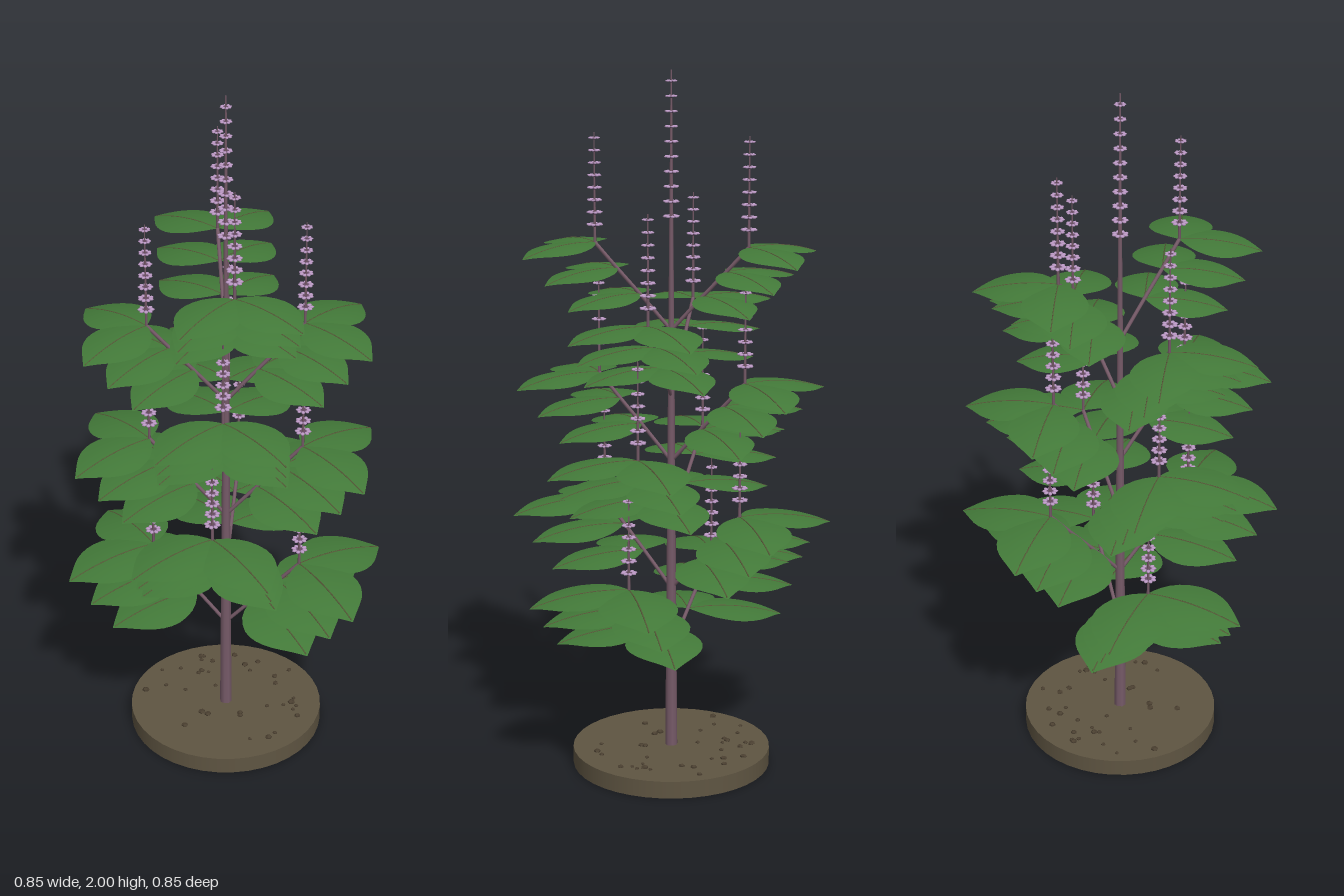
import * as THREE from 'three';
import { mergeGeometries } from 'three/addons/utils/BufferGeometryUtils.js';

const mat = (name, color, side = THREE.FrontSide) => {
  const m = new THREE.MeshStandardMaterial({ color, side });
  m.name = name;
  return m;
};

// Seeded random numbers for the pebbles
function seeded(seed) {
  return () => (seed = (seed * 16807) % 2147483647) / 2147483647;
}

// Height of a unit-length leaf: arched along its length, cupped across it
const leafHeight = (t, z) => 0.1 * t - 0.23 * t * t - 0.3 * z * z;

// Unit-length leaf blade along +x, with rounded sides and a short point
function leafGeometry() {
  const outline = new THREE.SplineCurve([
    [0, 0.005], [0.08, 0.15], [0.22, 0.3], [0.42, 0.385], [0.6, 0.365],
    [0.76, 0.27], [0.9, 0.12], [1, 0.005],
  ].map(([x, y]) => new THREE.Vector2(x, y)));
  const geo = new THREE.PlaneGeometry(1, 1, 14, 6);
  const pos = geo.attributes.position;
  for (let i = 0; i < pos.count; i++) {
    const p = outline.getPoint(pos.getX(i) + 0.5);
    const z = -pos.getY(i) * 2 * p.y;
    pos.setXYZ(i, p.x, leafHeight(p.x, z), z);
  }
  geo.computeVertexNormals();
  return geo;
}

// Thin rib that follows the middle of the blade
function midribGeometry() {
  const pts = [0, 0.25, 0.5, 0.75, 0.98].map(t => new THREE.Vector3(t, leafHeight(t, 0), 0));
  return new THREE.TubeGeometry(new THREE.CatmullRomCurve3(pts), 8, 0.007, 5);
}

// One ring of small flat petals around a calyx
function whorlGeometries() {
  const petals = [];
  for (let i = 0; i < 8; i++) {
    const p = new THREE.SphereGeometry(1, 6, 4);
    p.scale(0.0085, 0.0035, 0.0065);
    p.translate(0.016, 0, 0);
    p.rotateY(i * Math.PI / 4);
    petals.push(p);
  }
  const calyx = new THREE.CylinderGeometry(0.012, 0.004, 0.007, 8);
  calyx.translate(0, -0.003, 0);
  return { petals: mergeGeometries(petals), calyx };
}

export function createModel() {
  const root = new THREE.Group();
  root.name = 'floweringHerb';
  const leafMat = mat('leaf green', 0x437a39, THREE.DoubleSide);
  const stemMat = mat('mauve stem', 0x765a68);
  const ribMat = mat('rib brown', 0x5a5a3a);
  const petalMat = mat('lilac petal', 0xbd9ac6);
  const calyxMat = mat('purple calyx', 0x6a4c68);
  const soilMat = mat('soil', 0x5f5542);
  const pebbleMat = mat('dark pebble', 0x4a3f30);

  const add = (parent, name, geo, material, x = 0, y = 0, z = 0) => {
    const mesh = new THREE.Mesh(geo, material);
    mesh.name = name;
    mesh.position.set(x, y, z);
    parent.add(mesh);
    return mesh;
  };

  // Soil disc with scattered pebbles
  add(root, 'soilDisc', new THREE.CylinderGeometry(0.285, 0.285, 0.05, 40), soilMat, 0, 0.025, 0);
  const rand = seeded(77);
  const pebbleGeo = new THREE.DodecahedronGeometry(1, 0);
  for (let i = 0; i < 36; i++) {
    const a = rand() * Math.PI * 2, r = 0.06 + 0.19 * Math.sqrt(rand()), s = 0.006 + 0.005 * rand();
    const pebble = add(root, 'pebble', pebbleGeo, pebbleMat, r * Math.cos(a), 0.051, r * Math.sin(a));
    pebble.scale.set(s, s * 0.7, s);
    pebble.rotation.y = a;
  }

  // Main stem
  add(root, 'mainStem', new THREE.CylinderGeometry(0.008, 0.018, 1.3, 8), stemMat, 0, 0.69, 0);
  add(root, 'upperStem', new THREE.CylinderGeometry(0.002, 0.008, 0.66, 8), stemMat, 0, 1.67, 0);

  // Flower spike: whorls stacked from y0 to y1, smaller towards the tip
  const whorl = whorlGeometries();
  function addWhorls(parent, x, y0, y1, count) {
    const petals = [], calyxes = [];
    for (let i = 0; i < count; i++) {
      const t = i / (count - 1), s = 1 - 0.3 * t;
      const m = new THREE.Matrix4().makeRotationY(i * 0.4)
        .scale(new THREE.Vector3(s, s, s)).setPosition(x, y0 + (y1 - y0) * t, 0);
      petals.push(whorl.petals.clone().applyMatrix4(m));
      calyxes.push(whorl.calyx.clone().applyMatrix4(m));
    }
    add(parent, 'flowerPetals', mergeGeometries(petals), petalMat);
    add(parent, 'flowerCalyxes', mergeGeometries(calyxes), calyxMat);
  }
  addWhorls(root, 0, 1.6, 1.97, 10);

  // Branch pairs, each turned a little more than a quarter from the one below
  const nodes = [[0.09, 0.1], [0.155, 0.17], [0.218, 0.24]];
  const curve = new THREE.CatmullRomCurve3(
    [[0, 0], ...nodes].map(([x, y]) => new THREE.Vector3(x, y, 0)));
  const branchGeo = new THREE.TubeGeometry(curve, 12, 0.0055, 7);
  const spikeGeo = new THREE.CylinderGeometry(0.0015, 0.0045, 0.31, 6);
  const leafGeo = leafGeometry(), ribGeo = midribGeometry();

  for (let level = 0; level < 6; level++) {
    const length = 0.28 - 0.01 * level;
    for (const half of [0, Math.PI]) {
      const branch = new THREE.Group();
      branch.name = 'branch';
      branch.position.y = 0.34 + 0.188 * level;
      branch.rotation.y = THREE.MathUtils.degToRad(94 * level) + half;
      root.add(branch);
      add(branch, 'branchStem', branchGeo, stemMat);
      add(branch, 'spikeStem', spikeGeo, stemMat, 0.218, 0.39, 0);
      addWhorls(branch, 0.218, 0.29, 0.53, 8);

      // Opposite leaves at each node
      for (const [x, y] of nodes) {
        for (const side of [-1, 1]) {
          const leaf = new THREE.Group();
          leaf.name = 'leaf';
          leaf.position.set(x, y, 0);
          leaf.rotation.y = side * Math.PI / 4;
          leaf.scale.setScalar(length);
          branch.add(leaf);
          add(leaf, 'leafBlade', leafGeo, leafMat);
          add(leaf, 'midrib', ribGeo, ribMat);
        }
      }
    }
  }
  return root;
}
